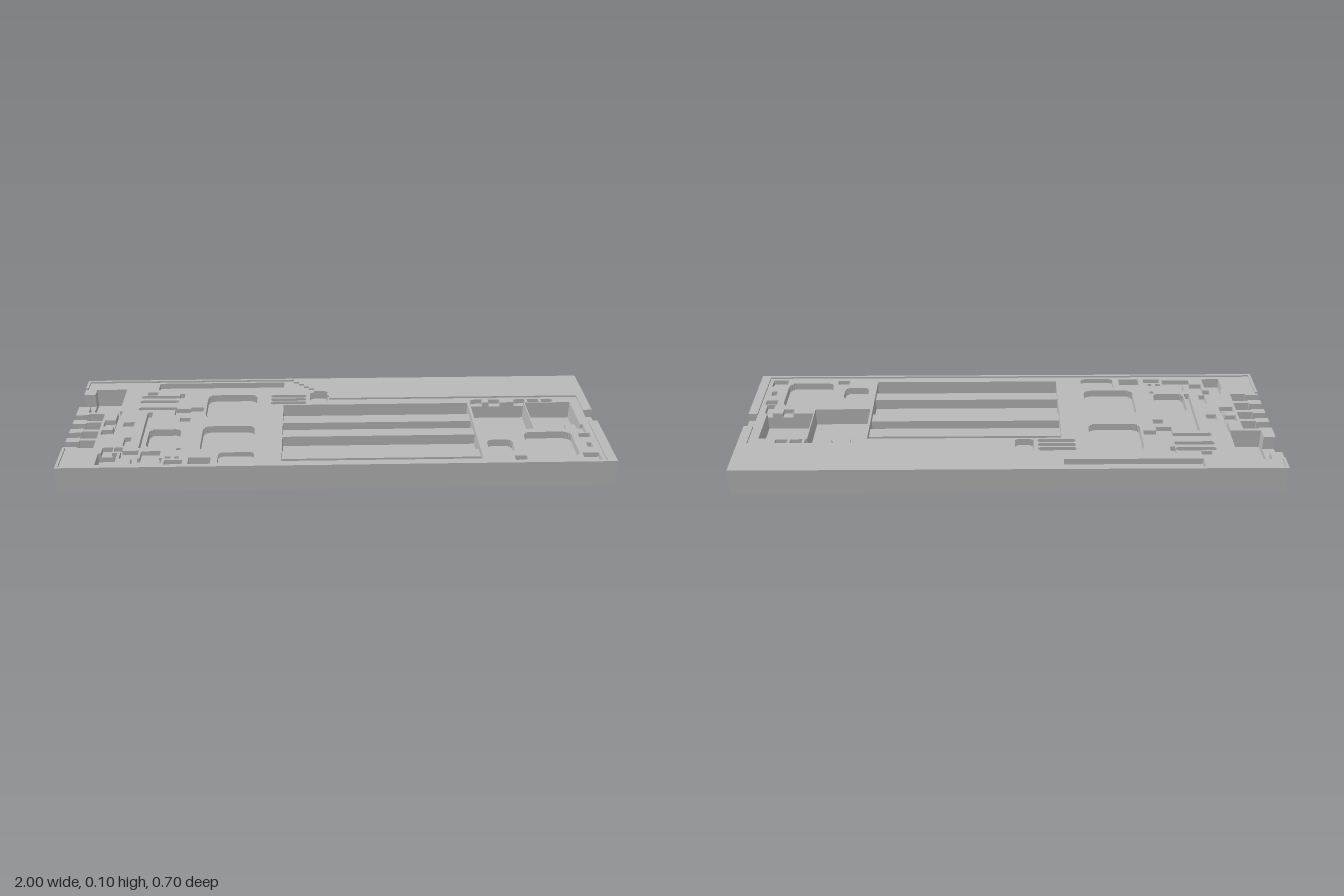
import * as THREE from 'three';

const TOP = 0.1, HALF_X = 1, HALF_Z = 0.35, BOARD = 0.093;

// Every pocket is [x0, x1, z0, z1, floorHeight]
const pockets = [];
const cut = (floor, ...rects) => rects.forEach(r => pockets.push([...r, floor]));

// Rounded pocket: overlapping rectangles following the corner arcs
function roundedCut(floor, x0, x1, z0, z1, r = 0.025, steps = 4) {
  for (let i = 0; i <= steps; i++) {
    const a = (i / steps) * Math.PI / 2;
    const dx = r * (1 - Math.cos(a)), dz = r * (1 - Math.sin(a));
    cut(floor, [x0 + dx, x1 - dx, z0 + dz, z1 - dz]);
  }
}

function definePockets() {
  // Shallow recess for the circuit board, with a sloping shoulder and a notch at each end
  cut(BOARD, [-0.99, -0.16, -0.34, 0.34], [-0.99, 0.965, -0.17, 0.34], [-1, -0.98, -0.28, 0.2]);
  for (let i = 0; i < 8; i++) cut(BOARD, [-0.17, -0.16 + 0.02 * i, -0.34 + 0.021 * i, -0.16]);
  cut(0.068, [0.965, 1, -0.045, 0.045]);

  // Memory bays: alternating deep slots and lowered ridges
  const lines = [-0.128, -0.078, -0.02, 0.035, 0.088, 0.2, 0.254, 0.307];
  for (let i = 0; i < lines.length - 1; i++)
    cut(i % 2 ? 0.07 : 0.03, [-0.2, 0.525, lines[i], lines[i + 1]]);

  // Deep bays at the left end
  cut(0.025, [0.535, 0.748, -0.13, 0.09], [0.752, 0.93, -0.125, 0.06]);

  // Rounded chip pockets
  roundedCut(0.065, -0.5, -0.305, -0.22, -0.03);
  roundedCut(0.065, -0.5, -0.305, 0.04, 0.23);
  roundedCut(0.065, -0.7, -0.58, 0.06, 0.2, 0.02);
  roundedCut(0.065, 0.555, 0.65, 0.17, 0.26, 0.02);
  roundedCut(0.065, 0.7, 0.88, 0.115, 0.3);
  roundedCut(0.075, -0.43, -0.3, 0.24, 0.325, 0.015);
  roundedCut(0.065, -0.095, -0.025, -0.235, -0.135, 0.015);

  // Large connector well opening through the end wall
  cut(0.02, [-0.955, -0.835, -0.28, -0.083]);
  cut(0.04, [-1, -0.955, -0.235, -0.13]);

  // Row of four stepped port openings
  for (let i = 0; i < 4; i++) {
    const z = -0.07 + 0.07 * i;
    cut(0.045, [-0.95, -0.89, z, z + 0.055], [-1, -0.95, z + 0.008, z + 0.047]);
  }

  // Long slot beside the back edge
  cut(0.07, [-0.706, -0.2, -0.33, -0.275]);

  // Narrow header slots
  for (const z of [-0.22, -0.18, -0.12]) roundedCut(0.07, -0.765, -0.615, z, z + 0.022, 0.008, 3);
  for (const z of [-0.215, -0.186, -0.158]) roundedCut(0.07, -0.25, -0.11, z, z + 0.022, 0.008, 3);
  cut(0.07, [-0.84, -0.825, -0.09, 0.09], [-0.725, -0.705, -0.08, 0.2]);

  // Small component pockets at the right end
  cut(0.075,
    [-0.615, -0.595, -0.235, -0.195], [-0.745, -0.705, -0.25, -0.225],
    [-0.62, -0.56, -0.105, -0.055], [-0.56, -0.51, -0.115, -0.08],
    [-0.595, -0.555, -0.03, 0], [-0.805, -0.765, 0, 0.035],
    [-0.785, -0.76, 0.12, 0.185], [-0.88, -0.83, -0.015, 0.03],
    [-0.88, -0.83, 0.06, 0.095], [-0.855, -0.815, 0.195, 0.235],
    [-0.81, -0.78, 0.195, 0.225], [-0.785, -0.72, 0.22, 0.275],
    [-0.71, -0.64, 0.225, 0.275], [-0.74, -0.63, 0.275, 0.31],
    [-0.62, -0.555, 0.29, 0.32], [-0.62, -0.6, 0.265, 0.28],
    [-0.585, -0.57, 0.265, 0.28], [-0.585, -0.57, 0.205, 0.22]);
  cut(0.055, [-0.865, -0.795, 0.235, 0.32], [-0.535, -0.455, 0.275, 0.32]);

  // Small component pockets at the left end
  for (const x of [0.54, 0.61, 0.71, 0.765, 0.82]) cut(0.075, [x, x + 0.045, -0.155, -0.13]);
  cut(0.075,
    [0.83, 0.87, 0.06, 0.09], [0.91, 0.94, 0.06, 0.125], [0.905, 0.95, 0.13, 0.16],
    [0.92, 0.94, 0.2, 0.235], [0.89, 0.95, 0.275, 0.325], [0.64, 0.685, 0.29, 0.32]);
}

// Sorted unique grid lines along one axis
function gridLines(half, a, b) {
  const all = [-half, half, ...pockets.flatMap(p => [p[a], p[b]])];
  return [...new Set(all.map(v => Math.round(v * 1e4) / 1e4))].sort((m, n) => m - n);
}

function quad(list, a, b, c, d) {
  list.push(...a, ...b, ...c, ...a, ...c, ...d);
}

function makeMesh(name, list, material) {
  const geometry = new THREE.BufferGeometry();
  geometry.setAttribute('position', new THREE.Float32BufferAttribute(list, 3));
  geometry.computeVertexNormals();
  const mesh = new THREE.Mesh(geometry, material);
  mesh.name = name;
  return mesh;
}

export function createModel() {
  pockets.length = 0;
  definePockets();
  const xs = gridLines(HALF_X, 0, 1), zs = gridLines(HALF_Z, 2, 3);
  const nx = xs.length - 1, nz = zs.length - 1;

  // Height of each cell is the lowest pocket covering it
  const heights = [];
  for (let j = 0; j < nz; j++) {
    const z = (zs[j] + zs[j + 1]) / 2;
    const row = pockets.filter(p => z > p[2] && z < p[3]);
    heights.push(xs.slice(0, nx).map((x0, i) => {
      const x = (x0 + xs[i + 1]) / 2;
      return row.reduce((h, p) => (x > p[0] && x < p[1] ? Math.min(h, p[4]) : h), TOP);
    }));
  }
  const height = (i, j) => heights[j]?.[i] ?? 0;

  const floors = [], walls = [], underside = [];

  // Level faces and walls facing front or back, merged into runs along x
  for (let j = 0; j <= nz; j++) {
    for (let i = 0, k; i < nx; i = k) {
      const back = height(i, j - 1), front = height(i, j);
      for (k = i + 1; k < nx && height(k, j - 1) === back && height(k, j) === front;) k++;
      const x0 = xs[i], x1 = xs[k], z0 = zs[j], z1 = zs[j + 1];
      if (j < nz) quad(floors, [x0, front, z0], [x0, front, z1], [x1, front, z1], [x1, front, z0]);
      if (back !== front) quad(walls, [x0, front, z0], [x1, front, z0], [x1, back, z0], [x0, back, z0]);
    }
  }
  // Walls facing left or right
  for (let i = 0; i <= nx; i++) {
    for (let j = 0, k; j < nz; j = k) {
      const a = height(i - 1, j), b = height(i, j);
      for (k = j + 1; k < nz && height(i - 1, k) === a && height(i, k) === b;) k++;
      const x = xs[i], z0 = zs[j], z1 = zs[k];
      if (a !== b) quad(walls, [x, b, z1], [x, b, z0], [x, a, z0], [x, a, z1]);
    }
  }
  quad(underside, [-HALF_X, 0, -HALF_Z], [HALF_X, 0, -HALF_Z], [HALF_X, 0, HALF_Z], [-HALF_X, 0, HALF_Z]);

  const material = new THREE.MeshStandardMaterial({ color: 0xb8b8b8 });
  material.name = 'plain grey';
  const group = new THREE.Group();
  group.name = 'boardTray';
  group.add(
    makeMesh('topAndPocketFloors', floors, material),
    makeMesh('pocketAndOuterWalls', walls, material),
    makeMesh('underside', underside, material));
  return group;
}
